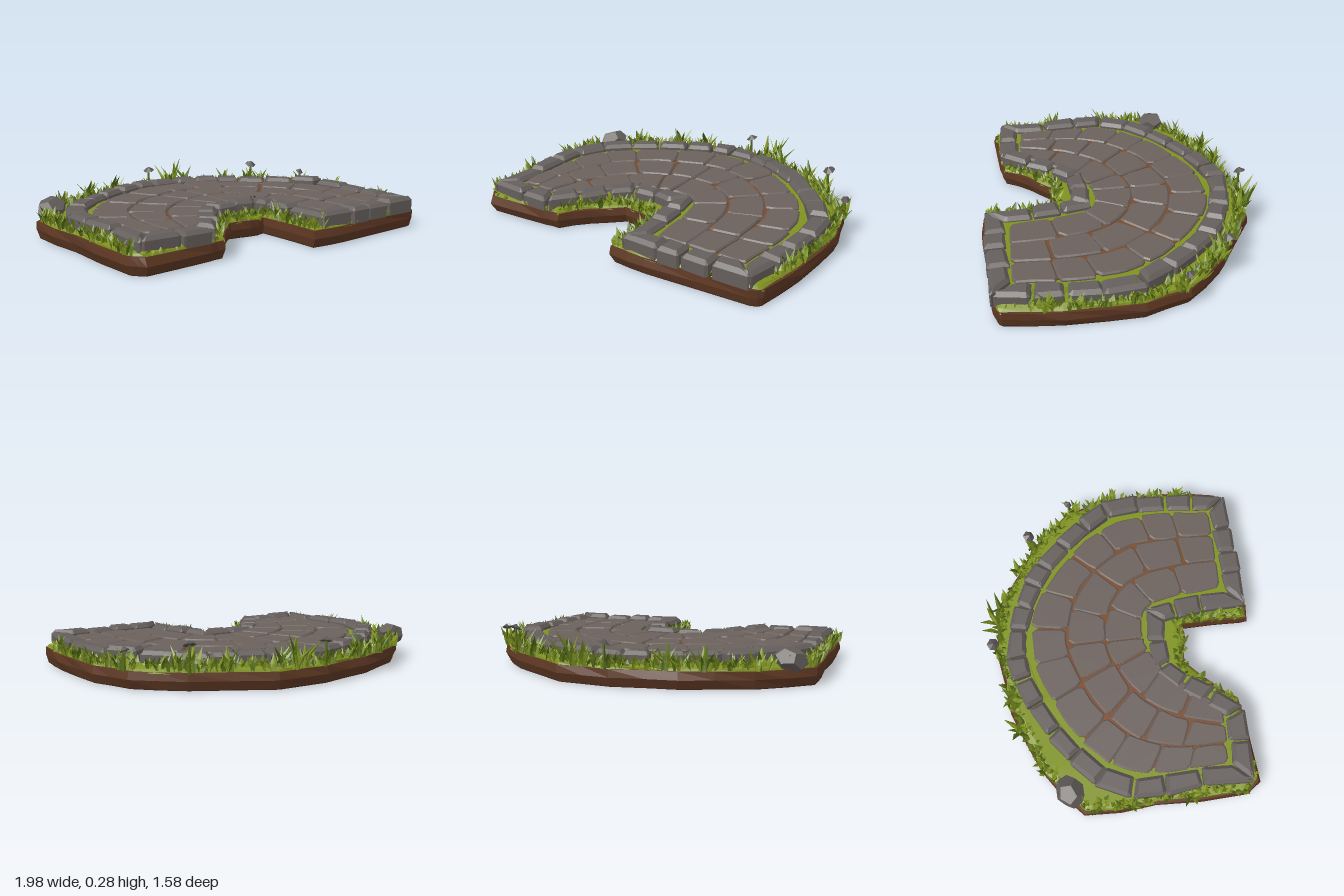
import * as THREE from 'three';

const mat = (name, color, side = THREE.FrontSide) => {
  const m = new THREE.MeshStandardMaterial({ color, side, flatShading: true });
  m.name = name;
  return m;
};

let seed = 7;
const rnd = () => {
  seed = (seed * 16807) % 2147483647;
  return seed / 2147483647;
};
const jit = (a) => (rnd() - 0.5) * 2 * a;

// All plan polygons are lists of [x, z], clockwise seen from above.
const area = (p) => p.reduce((s, a, i) => {
  const b = p[(i + 1) % p.length];
  return s + a[0] * b[1] - b[0] * a[1];
}, 0);

// Moves a closed polygon outwards by d (inwards when negative), with limited mitres
function offset(p, d) {
  const n = p.length;
  const edgeNormal = (a, b) => {
    const x = b[0] - a[0], z = b[1] - a[1], l = Math.hypot(x, z) || 1;
    return [z / l, -x / l];
  };
  return p.map((c, i) => {
    const n1 = edgeNormal(p[(i + n - 1) % n], c), n2 = edgeNormal(c, p[(i + 1) % n]);
    const x = n1[0] + n2[0], z = n1[1] + n2[1], l = Math.hypot(x, z) || 1;
    const k = d * Math.min(2 / l, 1.5) / l;
    return [c[0] + x * k, c[1] + z * k];
  });
}

// Solid from stacked rings [polygon, height], closed by caps
function solid(rings) {
  const v = [], put = (q, y) => v.push(q[0], typeof y === 'number' ? y : 0, q[1]);
  for (let r = 0; r + 1 < rings.length; r++) {
    const [a, ya] = rings[r], [b, yb] = rings[r + 1];
    a.forEach((_, i) => {
      const j = (i + 1) % a.length;
      put(a[i], ya); put(b[j], yb); put(a[j], ya);
      put(a[i], ya); put(b[i], yb); put(b[j], yb);
    });
  }
  const cap = ([p, y], up) => {
    const flat = p.map((q) => new THREE.Vector2(q[0], q[1]));
    for (const t of THREE.ShapeUtils.triangulateShape(flat, [])) {
      const tri = t.map((i) => p[i]);
      if ((area(tri) > 0) === up) tri.reverse();
      tri.forEach((q) => put(q, y));
    }
  };
  cap(rings[0], false);
  cap(rings[rings.length - 1], true);
  return toGeometry(v);
}

function toGeometry(v) {
  const g = new THREE.BufferGeometry();
  g.setAttribute('position', new THREE.Float32BufferAttribute(v, 3));
  g.computeVertexNormals();
  return g;
}

// Bevelled stone on a plan polygon
function stone(p, y0, y1, bevel) {
  if (area(p) < 0) p = [...p].reverse();
  return solid([[p, y0], [p, y1 - bevel], [offset(p, -bevel), y1]]);
}

// Clips the corners of a polygon by random amounts
const clip = (p, k) => p.flatMap((c, i) => {
  const a = p[(i + p.length - 1) % p.length], b = p[(i + 1) % p.length];
  const to = (q, t) => [c[0] + (q[0] - c[0]) * t, c[1] + (q[1] - c[1]) * t];
  return [to(a, k * (0.4 + rnd())), to(b, k * (0.4 + rnd()))];
});

const OUTLINE = [[-0.95, 0.1], [-0.97, -0.29], [-0.7, -0.52], [-0.35, -0.66], [0, -0.72], [0.3, -0.7],
  [0.68, -0.46], [0.89, -0.24], [0.97, 0], [0.97, 0.4], [0.93, 0.7], [0.87, 0.74], [0.3, 0.78], [0.07, 0.77],
  [0.07, 0.38], [-0.02, 0.39], [-0.15, 0.37], [-0.29, 0.5], [-0.4, 0.65], [-0.5, 0.66], [-0.88, 0.69], [-0.94, 0.62]];

const CURB = [[-0.84, 0.6], [-0.84, 0.36], [-0.86, 0.16], [-0.86, -0.02], [-0.78, -0.19], [-0.64, -0.32],
  [-0.5, -0.42], [-0.34, -0.51], [-0.18, -0.57], [-0.04, -0.6], [0.12, -0.585], [0.26, -0.54], [0.4, -0.48],
  [0.52, -0.4], [0.64, -0.28], [0.76, -0.14], [0.86, 0], [0.88, 0.2], [0.87, 0.38], [0.86, 0.54], [0.83, 0.69],
  [0.66, 0.7], [0.5, 0.71], [0.36, 0.71], [0.19, 0.71], [0.18, 0.5], [0.16, 0.34], [0.13, 0.22], [-0.03, 0.21],
  [-0.18, 0.23], [-0.3, 0.34], [-0.39, 0.47], [-0.5, 0.6], [-0.66, 0.6]];

// Outer and inner edges of the paving, matched point by point
const PAVE_OUT = [[-0.77, 0.53], [-0.79, 0.2], [-0.76, -0.05], [-0.6, -0.25], [-0.3, -0.43], [0, -0.51],
  [0.3, -0.45], [0.58, -0.24], [0.77, 0.05], [0.8, 0.35], [0.78, 0.63]];
const PAVE_IN = [[-0.46, 0.53], [-0.36, 0.42], [-0.26, 0.29], [-0.16, 0.2], [-0.06, 0.15], [0, 0.14],
  [0.08, 0.14], [0.18, 0.18], [0.23, 0.27], [0.25, 0.45], [0.27, 0.63]];

export function createModel() {
  seed = 7;
  const model = new THREE.Group();
  const soil = mat('soil', 0x5e3823);
  const underside = mat('dark soil', 0x3a2116);
  const joint = mat('joint earth', 0x7a4c2c);
  const moss = mat('moss', 0x7f921f);
  const paving = mat('paving stone', 0x6b615d);
  const curbGrey = mat('curb stone', 0x655f5c);
  const leafLight = mat('light grass', 0x7d9120, THREE.DoubleSide);
  const leafDark = mat('dark grass', 0x566d17, THREE.DoubleSide);
  const capGrey = mat('mushroom grey', 0x5a5655);
  const add = (name, geo, material, parent = model) => {
    const m = new THREE.Mesh(geo, material);
    m.name = name;
    parent.add(m);
    return m;
  };
  const group = (name) => {
    const g = new THREE.Group();
    g.name = name;
    model.add(g);
    return g;
  };

  // Earth base with a roughly hewn side
  const fine = OUTLINE.flatMap((a, i) => {
    const b = OUTLINE[(i + 1) % OUTLINE.length];
    return [a, [(a[0] + b[0]) / 2 + jit(0.01), (a[1] + b[1]) / 2 + jit(0.01)]];
  });
  const rough = (d, j) => offset(fine, d).map(([x, z]) => [x + jit(j), z + jit(j)]);
  const foot = offset(fine, -0.018);
  add('earthBase', solid([[foot, 0.004], [rough(0, 0.007), 0.05], [rough(-0.006, 0.007), 0.092]]), soil);
  add('underside', solid([[foot, 0], [foot, 0.004]]), underside);

  // Moss layer and beds under the stones
  add('mossLayer', solid([[rough(-0.012, 0.008), 0.085], [rough(-0.022, 0.008), 0.104], [offset(fine, -0.05), 0.115]]), moss);
  const bed = [...PAVE_OUT, ...[...PAVE_IN].reverse()];
  add('mossBed', solid([[offset(bed, 0.05), 0.1], [offset(bed, 0.04), 0.143]]), moss);
  add('jointBed', solid([[offset(bed, -0.018), 0.1], [offset(bed, -0.018), 0.147]]), joint);

  // Three curved rows of paving stones
  const curve = (pts) => new THREE.CatmullRomCurve3(pts.map(([x, z]) => new THREE.Vector3(x, 0, z)));
  const inner = curve(PAVE_IN), outer = curve(PAVE_OUT);
  const at = (t, s) => {
    const q = inner.getPoint(t).lerp(outer.getPoint(t), s);
    return [q.x, q.z];
  };
  const pavers = group('paving');
  [[8, 0, 0.34], [10, 0.34, 0.68], [13, 0.68, 1]].forEach(([n, s0, s1]) => {
    const cuts = Array.from({ length: n + 1 }, (_, k) => (k === 0 || k === n ? k / n : (k + jit(0.14)) / n));
    for (let k = 0; k < n; k++) {
      const [a, b] = [cuts[k], cuts[k + 1]], mid = (a + b) / 2;
      const quad = [at(a, s0), at(a, s1), at(mid, s1), at(b, s1), at(b, s0), at(mid, s0)]
        .map(([x, z]) => [x + jit(0.008), z + jit(0.008)]);
      const p = offset(clip(quad, 0.17), -0.003);
      add('pavingStone', stone(p, 0.12, 0.16 + jit(0.004), 0.008), paving, pavers);
    }
  });

  // Raised curb stones all round
  const curb = group('curb');
  const wide = offset(CURB, 0.058), narrow = offset(CURB, -0.058);
  CURB.forEach((_, i) => {
    const j = (i + 1) % CURB.length;
    const quad = [wide[i], wide[j], narrow[j], narrow[i]].map(([x, z]) => [x + jit(0.01), z + jit(0.01)]);
    const top = 0.174 + jit(0.007) + (i === 15 ? 0.016 : 0);
    add('curbStone', stone(offset(clip(quad, 0.09), -0.004), 0.09, top, 0.02), curbGrey, curb);
  });

  // Boulder at the back corner
  const boulder = add('boulder', new THREE.DodecahedronGeometry(0.095, 0), curbGrey);
  boulder.scale.set(1, 0.72, 0.85);
  boulder.rotation.set(0.3, 0.5, 0.15);
  boulder.position.set(-0.84, 0.135, -0.36);

  // Grass blades: folded tapering strips gathered in tufts
  const light = [], dark = [];
  const tuft = (x, z, h, count, spread) => {
    for (let i = 0; i < count; i++) {
      const v = rnd() < 0.62 ? light : dark;
      const a = rnd() * Math.PI * 2, c = Math.cos(a), s = Math.sin(a);
      const hh = h * (0.5 + rnd() * 0.5), lean = hh * (0.2 + rnd() * 0.5), w = 0.009 + rnd() * 0.008;
      const bx = x + jit(spread), bz = z + jit(spread);
      const pt = (out, side, y) => [bx + c * out - s * side, 0.095 + y, bz + s * out + c * side];
      const l0 = pt(0, -w * 0.6, 0), r0 = pt(0, w * 0.6, 0), tip = pt(lean, 0, hh);
      const l1 = pt(lean * 0.35, -w, hh * 0.5), r1 = pt(lean * 0.35, w, hh * 0.5), m = pt(lean * 0.2, 0, hh * 0.52);
      for (const t of [l0, r0, m, l0, m, l1, r0, r1, m, l1, m, tip, m, r1, tip]) v.push(...t);
    }
  };
  const rim = offset(OUTLINE, -0.035);
  rim.forEach((a, i) => {
    const b = rim[(i + 1) % rim.length], len = Math.hypot(b[0] - a[0], b[1] - a[1]);
    const steps = Math.max(1, Math.round(len / 0.04));
    for (let k = 0; k < steps; k++) {
      const t = (k + rnd()) / steps, x = a[0] + (b[0] - a[0]) * t, z = a[1] + (b[1] - a[1]) * t;
      const front = z > 0.58 && !(x > 0.05 && x < 0.14);
      tuft(x, z, front ? 0.035 : z < 0 ? 0.085 : 0.075, front ? 2 : 7, 0.026);
    }
  });
  // Taller tufts [x, z, height]
  [[0.2, -0.7, 0.2], [0.15, -0.68, 0.16], [0.26, -0.66, 0.15], [-0.46, -0.62, 0.16], [-0.28, -0.65, 0.15],
    [-0.7, -0.5, 0.12], [0.5, -0.55, 0.13], [0.66, -0.46, 0.15], [0.7, -0.4, 0.13], [0.9, -0.2, 0.12],
    [0.94, 0.05, 0.11], [0.94, 0.47, 0.13], [-0.94, -0.05, 0.11], [-0.93, 0.3, 0.1], [-0.93, 0.61, 0.09],
    [0.11, 0.45, 0.1]].forEach(([x, z, h]) => tuft(x, z, h, 9, 0.022));
  add('lightGrass', toGeometry(light), leafLight);
  add('darkGrass', toGeometry(dark), leafDark);

  // Small grey mushrooms
  [[0.02, -0.72, 0.235, 0.036], [0.68, -0.47, 0.245, 0.036], [0.9, -0.22, 0.205, 0.026]].forEach(([x, z, y, r], i) => {
    const g = group('mushroom');
    g.position.set(x, 0, z);
    add('mushroomStem', new THREE.CylinderGeometry(0.006, 0.009, y - 0.09, 5).translate(0, (y + 0.09) / 2, 0), leafDark, g);
    const cap = add('mushroomCap', new THREE.ConeGeometry(r, 0.025, 6), capGrey, g);
    cap.position.y = y;
    cap.rotation.set(0.2, i, 0.25);
  });
  return model;
}
